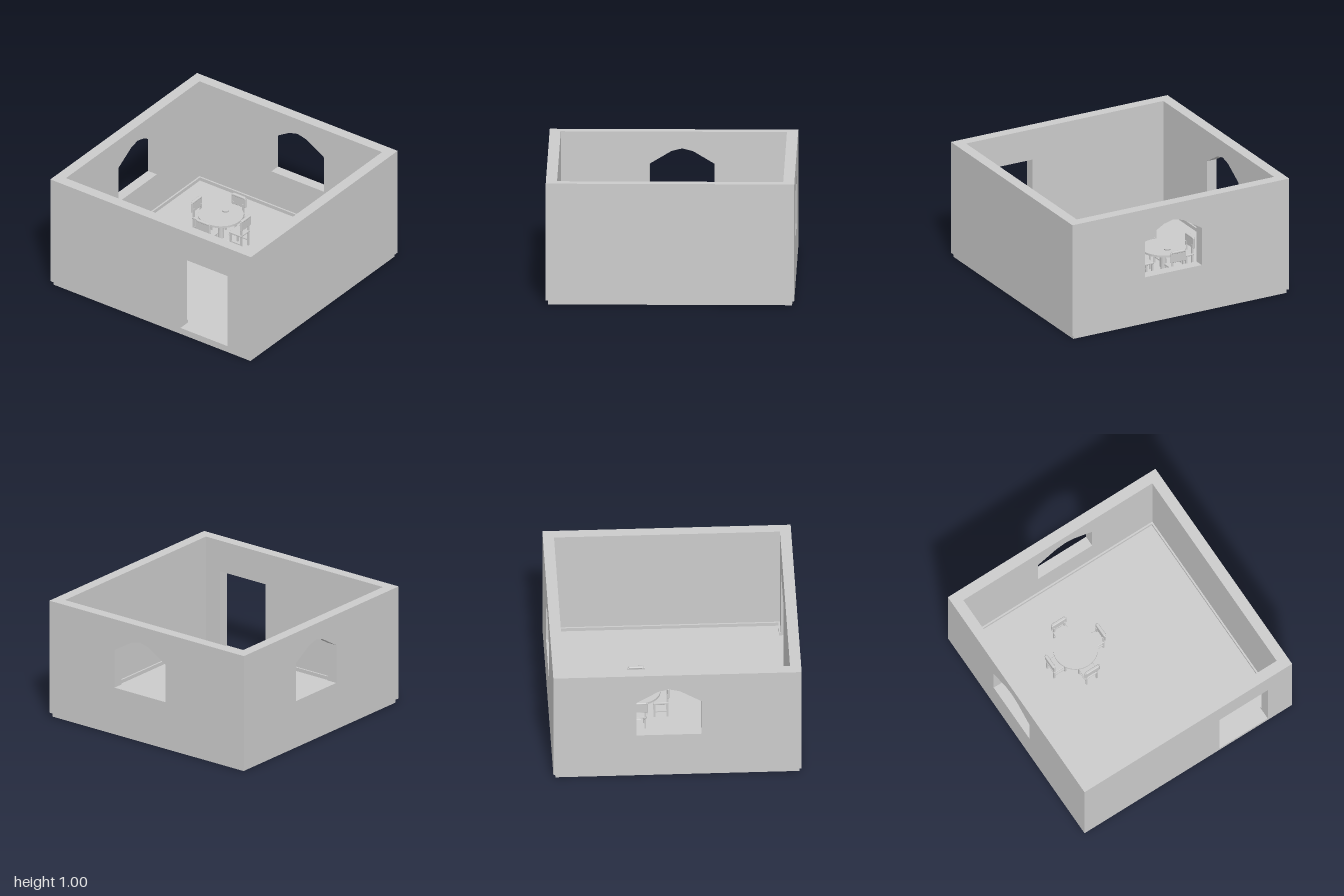
import * as THREE from 'three';
import { RoundedBoxGeometry } from 'three/addons/geometries/RoundedBoxGeometry.js';

const material = new THREE.MeshStandardMaterial({ color: 0xcccccc, flatShading: true });
const smooth = new THREE.MeshStandardMaterial({ color: 0xcccccc });

const OUTER = 1, INNER = 0.91, WALL = OUTER - INNER;
const WALL_BOTTOM = 0.035, FLOOR = 0.07;

function add(parent, name, geometry, x = 0, y = 0, z = 0, mat = material) {
  const mesh = new THREE.Mesh(geometry, mat);
  mesh.name = name;
  mesh.position.set(x, y, z);
  parent.add(mesh);
  return mesh;
}

function box(parent, name, w, h, d, x, y, z) {
  return add(parent, name, new THREE.BoxGeometry(w, h, d), x, y, z);
}

// Closed outline from [u, y] points
function outline(points, Type = THREE.Path) {
  return new Type(points.map(([u, y]) => new THREE.Vector2(u, y)));
}

// Pointed, five-sided arch opening centred on u
function archHole(u) {
  return outline([
    [u - 0.262, 0.41], [u + 0.262, 0.41], [u + 0.262, 0.735],
    [u + 0.087, 0.84], [u, 0.862], [u - 0.087, 0.84], [u - 0.262, 0.735],
  ]);
}

function wallGeometry(half, hole) {
  const shape = outline([[-half, WALL_BOTTOM], [half, WALL_BOTTOM], [half, 1], [-half, 1]], THREE.Shape);
  if (hole) shape.holes.push(hole);
  return new THREE.ExtrudeGeometry(shape, { depth: WALL, bevelEnabled: false });
}

// Chair facing -z, with its back at +z; origin at the middle of the back, on the floor
function createChair() {
  const chair = new THREE.Group();
  chair.name = 'chair';
  add(chair, 'seat', new RoundedBoxGeometry(0.125, 0.016, 0.125, 2, 0.005), 0, 0.135, -0.06, smooth);
  for (const side of [-1, 1]) {
    box(chair, 'frontLeg', 0.014, 0.13, 0.014, side * 0.05, 0.065, -0.112);
    box(chair, 'backLeg', 0.014, 0.22, 0.014, side * 0.05, 0.11, -0.007);
    box(chair, 'sideStretcher', 0.008, 0.01, 0.1, side * 0.05, 0.05, -0.06);
  }
  add(chair, 'backrest', new RoundedBoxGeometry(0.142, 0.09, 0.016, 2, 0.006), 0, 0.235, 0, smooth);
  add(chair, 'topRail', new RoundedBoxGeometry(0.124, 0.02, 0.026, 2, 0.008), 0, 0.278, 0.002, smooth);
  return chair;
}

export function createModel() {
  const model = new THREE.Group();
  model.name = 'room';

  // Foundation and floor
  box(model, 'foundation', 1.966, WALL_BOTTOM, 1.966, 0, WALL_BOTTOM / 2, 0);
  box(model, 'floor', 1.996, FLOOR - WALL_BOTTOM, 1.996, 0, (FLOOR + WALL_BOTTOM) / 2, 0);

  // Walls: plain front, arched windows at the back and left, doorway on the right
  add(model, 'frontWall', wallGeometry(OUTER), 0, 0, INNER);
  add(model, 'backWall', wallGeometry(OUTER, archHole(0.067)), 0, 0, -OUTER);
  const leftWall = add(model, 'leftWall', wallGeometry(INNER, archHole(-0.069)), INNER);
  const doorHole = outline([[-0.765, FLOOR], [-0.298, FLOOR], [-0.298, 0.735], [-0.765, 0.735]]);
  const rightWall = add(model, 'rightWall', wallGeometry(INNER, doorHole), -OUTER);
  leftWall.rotation.y = rightWall.rotation.y = Math.PI / 2;

  // Skirting, broken at the doorway
  const t = 0.014, h = 0.03, sy = FLOOR + h / 2, edge = INNER - t / 2;
  for (const side of [-1, 1]) box(model, 'skirting', 2 * INNER, h, t, 0, sy, side * edge);
  const sideRuns = [[1, -INNER + t, INNER - t], [-1, -INNER + t, 0.298], [-1, 0.765, INNER - t]];
  for (const [side, z0, z1] of sideRuns) {
    box(model, 'skirting', t, h, z1 - z0, side * edge, sy, (z0 + z1) / 2);
  }

  // Round table with four chairs
  const dining = new THREE.Group();
  dining.name = 'diningSet';
  dining.position.set(0.287, FLOOR, -0.24);
  model.add(dining);
  const table = new THREE.Group();
  table.name = 'table';
  dining.add(table);
  add(table, 'tableTop', new THREE.CylinderGeometry(0.183, 0.183, 0.018, 48), 0, 0.221, 0);
  add(table, 'pedestal', new THREE.CylinderGeometry(0.02, 0.026, 0.2, 20), 0, 0.112, 0);
  add(table, 'pedestalFoot', new THREE.CylinderGeometry(0.07, 0.085, 0.014, 32), 0, 0.007, 0);
  add(table, 'dish', new THREE.CylinderGeometry(0.03, 0.026, 0.012, 24), 0.062, 0.236, 0);

  for (let i = 0; i < 4; i++) {
    const pivot = new THREE.Group();
    pivot.name = 'chairPlace';
    pivot.rotation.y = (i * Math.PI) / 2;
    const chair = createChair();
    chair.position.z = 0.244;
    pivot.add(chair);
    dining.add(pivot);
  }
  return model;
}
